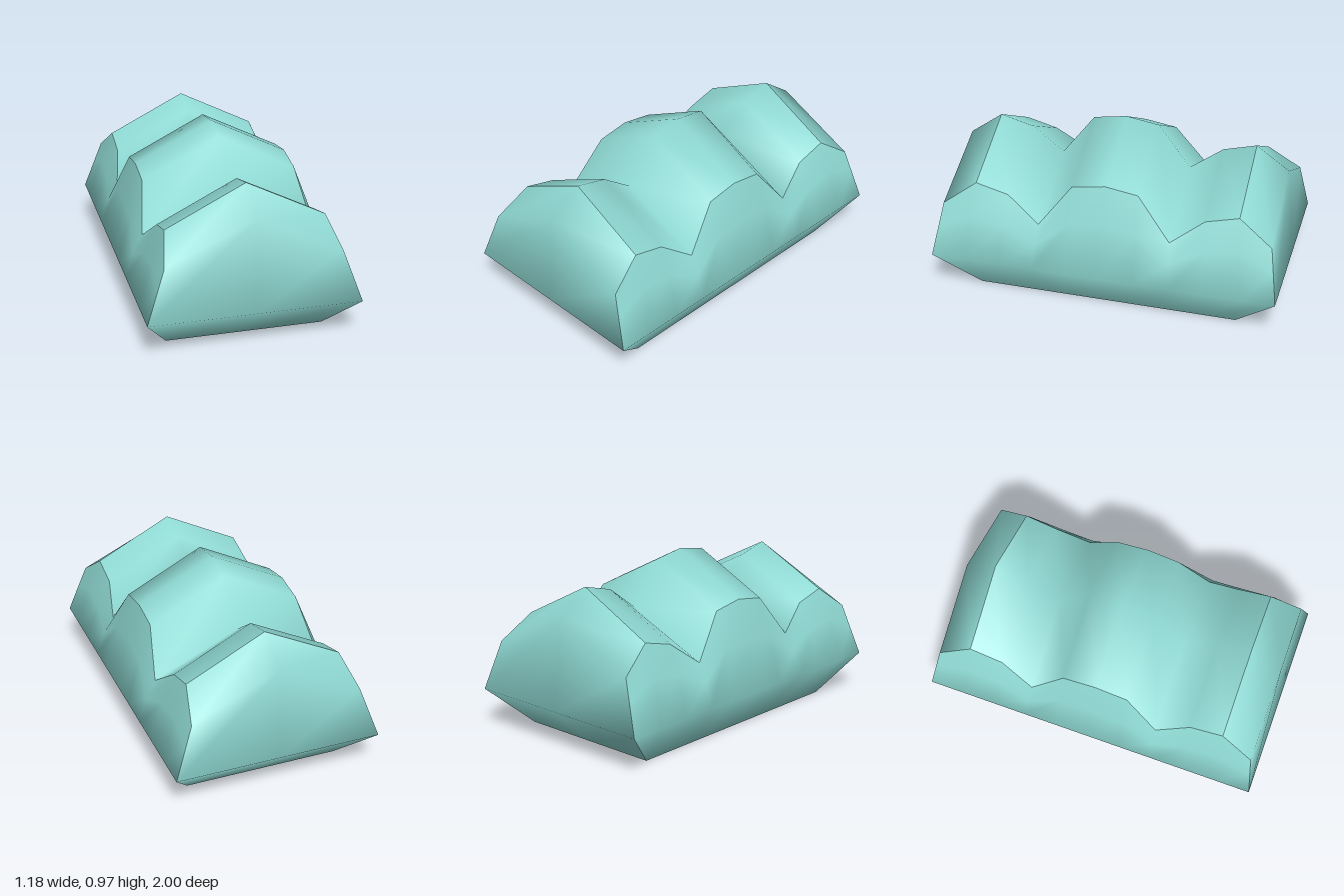
import * as THREE from 'three';

const material = new THREE.MeshStandardMaterial({ color: 0x8fd9d3 });

// Roof stations from back to front: z, eave half-width, eave height
const half = [
  [0, 0.445, 0.745], [0.19, 0.445, 0.715], [0.38, 0.488, 0.47],
  [0.57, 0.445, 0.61], [0.76, 0.445, 0.66], [0.95, 0.487, 0.525],
];
const stations = [
  ...half.slice(1).reverse().map(([z, x, y]) => [-z, x, y]),
  ...half,
];
const RISE = 0.225; // ridge height above the eaves
const BELLY = { x: 0.592, y: 0.23, z: 1 };
const BASE = { x: 0.445, z: 0.76 };

// Smooth surface through rows of points, creased only at its borders
function patch(name, rows) {
  const cols = rows[0].length;
  const index = [];
  for (let i = 0; i < rows.length - 1; i++) {
    for (let j = 0; j < cols - 1; j++) {
      const a = i * cols + j, b = a + 1, d = a + cols, c = d + 1;
      index.push(a, d, b, b, d, c);
    }
  }
  const geometry = new THREE.BufferGeometry();
  geometry.setAttribute('position', new THREE.Float32BufferAttribute(rows.flat(2), 3));
  geometry.setIndex(index);
  geometry.computeVertexNormals();
  const mesh = new THREE.Mesh(geometry, material);
  mesh.name = name;
  return mesh;
}

// Gable row: left eave, ridge, right eave
const gable = ([z, x, y]) => [[-x, y, z], [0, y + RISE, z], [x, y, z]];
const level = (x, y, z) => [[-x, y, z], [0, y, z], [x, y, z]];

function addPair(group, nameA, nameB, rows) {
  group.add(patch(nameA, rows));
  const other = patch(nameB, rows);
  other.rotation.y = Math.PI;
  group.add(other);
}

export function createModel() {
  const group = new THREE.Group();
  group.name = 'humpedBlock';

  // Three-humped roof
  group.add(patch('roof', stations.slice(1, -1).map(gable)));

  // Ends: sloping hip, face and tucked-in underside
  addPair(group, 'frontEnd', 'backEnd', [
    gable(half[4]), gable(half[5]),
    level(BELLY.x, BELLY.y, BELLY.z), level(BASE.x, 0, BASE.z),
  ]);

  // Sides: eave, slightly bulging wall, belly, base
  const along = [...stations].reverse();
  const t = 0.58;
  const mix = THREE.MathUtils.lerp;
  addPair(group, 'leftSide', 'rightSide', [
    along.map(([z, x, y]) => [x, y, z]),
    along.map(([z, x, y]) => [
      mix(BELLY.x, x, t) + (Math.abs(z) > 0.9 ? 0 : 0.014),
      mix(BELLY.y, y, t), mix(z / 0.95, z, t),
    ]),
    along.map(([z]) => [BELLY.x, BELLY.y, z / 0.95 * BELLY.z]),
    along.map(([z]) => [BASE.x, 0, z / 0.95 * BASE.z]),
  ]);

  // Flat base
  group.add(patch('base', [level(BASE.x, 0, BASE.z), level(BASE.x, 0, -BASE.z)]));
  return group;
}
